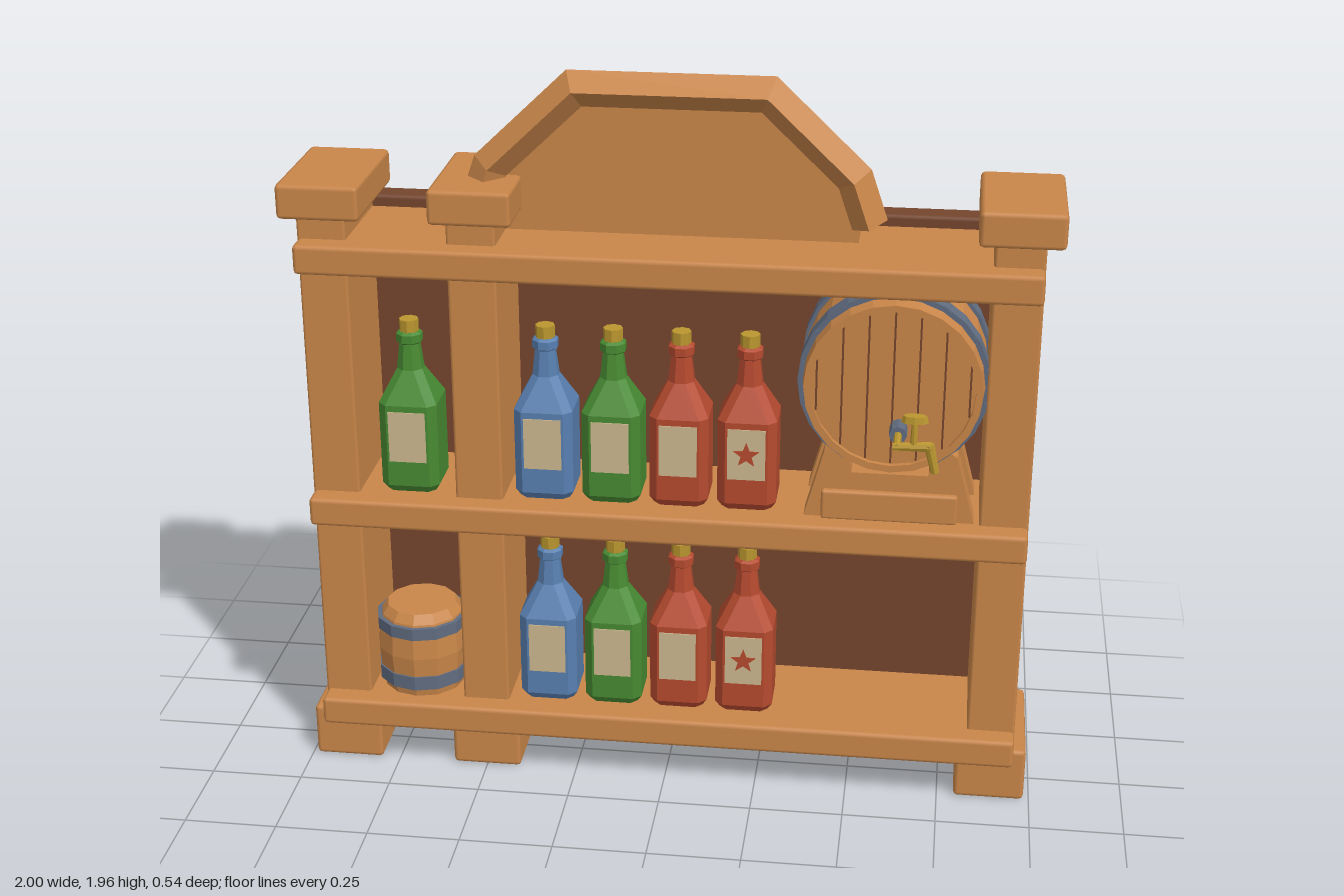
import * as THREE from 'three';
import { RoundedBoxGeometry } from 'three/addons/geometries/RoundedBoxGeometry.js';

const mat = (name, color) => {
  const m = new THREE.MeshStandardMaterial({ color });
  m.name = name;
  return m;
};

// faceted copy of a geometry
function flat(g) {
  const f = g.index ? g.toNonIndexed() : g;
  f.computeVertexNormals();
  return f;
}

function add(parent, name, geo, material, x = 0, y = 0, z = 0) {
  const m = new THREE.Mesh(geo, material);
  m.name = name;
  m.position.set(x, y, z);
  parent.add(m);
  return m;
}

// box with chamfered edges, given by its limits
function block(parent, name, material, x0, x1, y0, y1, z0, z1, r = 0.008) {
  const g = new RoundedBoxGeometry(x1 - x0, y1 - y0, z1 - z0, 1, r);
  return add(parent, name, g, material, (x0 + x1) / 2, (y0 + y1) / 2, (z0 + z1) / 2);
}

const lathe = (pts, n, phi = 0) =>
  flat(new THREE.LatheGeometry(pts.map(p => new THREE.Vector2(...p)), n, phi));

const polygon = pts => new THREE.Shape(pts.map(p => new THREE.Vector2(...p)));
const extrude = (shape, depth) => new THREE.ExtrudeGeometry(shape, { depth, bevelEnabled: false });

// mitred moulding with a diamond section, swept along a path in the xy plane
function moulding(path, h, d) {
  const P = path.map(p => new THREE.Vector2(...p)), pos = [], idx = [];
  const normal = i => {
    const t = P[i + 1].clone().sub(P[i]).normalize();
    return new THREE.Vector2(-t.y, t.x);
  };
  P.forEach((p, i) => {
    const a = normal(Math.max(i - 1, 0)), b = normal(Math.min(i, P.length - 2));
    const m = a.clone().add(b).normalize();
    m.multiplyScalar(h / m.dot(a));
    pos.push(p.x + m.x, p.y + m.y, 0, p.x, p.y, d, p.x - m.x, p.y - m.y, 0, p.x, p.y, -d);
  });
  for (let i = 0; i < P.length - 1; i++) for (let k = 0; k < 4; k++) {
    const a = i * 4 + k, b = a + 4, e = i * 4 + (k + 1) % 4, c = e + 4;
    idx.push(a, e, c, a, c, b);
  }
  const l = (P.length - 1) * 4;
  idx.push(0, 3, 2, 0, 2, 1, l, l + 1, l + 2, l, l + 2, l + 3);
  const g = new THREE.BufferGeometry();
  g.setAttribute('position', new THREE.Float32BufferAttribute(pos, 3));
  g.setIndex(idx);
  return flat(g);
}

// eight-sided bottle: a square body with chamfered corners and a narrow neck
function bottleGeometry() {
  const k = 1 / Math.cos(Math.PI / 8);
  const profile = [[0, 0], [0.066, 0], [0.078, 0.02], [0.078, 0.25], [0.034, 0.335], [0.026, 0.405],
    [0.033, 0.41], [0.033, 0.432], [0.026, 0.438], [0, 0.438]].map(([r, y]) => [r * k, y]);
  const g = new THREE.LatheGeometry(profile.map(p => new THREE.Vector2(...p)), 8, Math.PI / 8);
  const p = g.attributes.position;
  for (let i = 0; i < p.count; i++) {
    const x = p.getX(i), z = p.getZ(i);
    if (Math.hypot(x, z) < 0.05) continue;
    if (Math.abs(x) < Math.abs(z)) p.setX(i, x * 1.74); else p.setZ(i, z * 1.74);
  }
  return flat(g);
}

export function createModel() {
  const root = new THREE.Group();
  root.name = 'drinkShelf';
  const wood = mat('wood', 0xc98649), dark = mat('darkWood', 0x74452d), iron = mat('iron', 0x606c80);
  const gold = mat('brass', 0xba962f), cream = mat('labelPaper', 0xcdb78e);
  const blue = mat('blueGlass', 0x587fb0), green = mat('greenGlass', 0x488a32), red = mat('redGlass', 0xb54a2f);

  // posts with feet and caps
  for (const x of [-0.89, -0.5, 0.887]) {
    const out = x < -0.6 ? -0.003 : x > 0 ? 0.003 : 0;
    block(root, 'post', wood, x - 0.064, x + 0.064, 0.1, 1.6, -0.215, 0.1);
    block(root, 'foot', wood, x + out - 0.095, x + out + 0.095, 0, 0.152, -0.235, 0.118, 0.012);
    block(root, 'cap', wood, x + out - 0.108, x + out + 0.108, 1.577, 1.67, -0.242, 0.118, 0.012);
  }
  // shelves and back panel
  for (const y of [0.122, 0.733, 1.444])
    block(root, 'shelf', wood, -0.953, 0.95, y, y + 0.08, -0.252, 0.16, 0.012);
  block(root, 'backPanel', dark, -0.838, 0.835, 0.125, 1.555, -0.266, -0.19, 0.01);

  // crest board and its moulding
  const crest = polygon([[-0.48, 1.5], [0.48, 1.5], [0.48, 1.67], [0.255, 1.887], [-0.255, 1.887], [-0.48, 1.67]]);
  add(root, 'crestBoard', extrude(crest, 0.175), wood, 0, 0, -0.22);
  const half = [[0.247, 1.91], [0.467, 1.7], [0.508, 1.58]];
  const path = [...half.map(([x, y]) => [-x, y]).reverse(), ...half];
  add(root, 'crestMoulding', moulding(path, 0.047, 0.05), wood, 0, 0, -0.023);

  // bottles
  const glass = bottleGeometry();
  const cork = flat(new THREE.CylinderGeometry(0.026, 0.026, 0.036, 8));
  const label = new THREE.BoxGeometry(0.1, 0.142, 0.004);
  const star = extrude(polygon(Array.from({ length: 10 }, (_, i) => {
    const a = Math.PI / 2 + i * Math.PI / 5, r = i % 2 ? 0.015 : 0.036;
    return [r * Math.cos(a), r * Math.sin(a)];
  })), 0.003);
  const bottle = (x, y, color, starred) => {
    const b = new THREE.Group();
    b.name = 'bottle';
    b.position.set(x, y, 0.01);
    add(b, 'bottleGlass', glass, color);
    add(b, 'cork', cork, gold, 0, 0.453, 0);
    add(b, 'label', label, cream, 0, 0.162, 0.079);
    if (starred) add(b, 'labelStar', star, red, 0, 0.162, 0.081);
    root.add(b);
  };
  for (const y of [0.202, 0.813])
    [blue, green, red, red].forEach((c, i) => bottle(-0.328 + i * 0.18, y, c, i === 3));
  bottle(-0.692, 0.813, green, false);

  // small upright keg
  const keg = new THREE.Group();
  keg.name = 'smallKeg';
  keg.position.set(-0.695, 0.202, 0);
  add(keg, 'kegBody', lathe([[0, 0], [0.112, 0], [0.122, 0.06], [0.127, 0.12], [0.122, 0.18],
    [0.113, 0.22], [0.096, 0.245], [0, 0.245]], 12), wood);
  for (const [y, h] of [[0.025, 0.04], [0.18, 0.034]])
    add(keg, 'kegHoop', lathe([[0.11, y], [0.127, y], [0.127, y + h], [0.11, y + h]], 12), iron);
  root.add(keg);

  // large barrel lying on its side
  const barrel = new THREE.Group();
  barrel.name = 'largeBarrel';
  barrel.position.set(0.587, 1.198, 0);
  const along = pts => lathe(pts, 24).rotateX(Math.PI / 2);
  add(barrel, 'barrelBody', along([[0, -0.185], [0.228, -0.185], [0.238, -0.08], [0.238, 0.03], [0.228, 0.14],
    [0.21, 0.14], [0.21, 0.126], [0, 0.126]]), wood);
  for (const z of [-0.15, 0.04])
    add(barrel, 'barrelHoop', along([[0.22, z], [0.246, z], [0.246, z + 0.055], [0.22, z + 0.055]]), iron);
  const stud = new THREE.CylinderGeometry(0.006, 0.006, 0.006, 6).rotateX(Math.PI / 2);
  for (let i = 0; i < 16; i++) {
    const a = (i + 0.5) * Math.PI / 8;
    add(barrel, 'hoopStud', stud, iron, 0.238 * Math.cos(a), 0.238 * Math.sin(a), 0.097);
  }
  for (let i = -3; i <= 3; i++) {
    const x = i * 0.065, h = 2 * Math.sqrt(0.207 ** 2 - x * x);
    add(barrel, 'plankGap', new THREE.BoxGeometry(0.005, h, 0.003), dark, x, 0, 0.127);
  }
  root.add(barrel);

  // barrel cradle
  const cradle = extrude(polygon([[-0.222, 0], [0.222, 0], [0.172, 0.185], [0.115, 0.225],
    [0.1, 0.13], [-0.1, 0.13], [-0.115, 0.225], [-0.172, 0.185]]), 0.07);
  for (const z of [-0.16, 0.02]) add(root, 'cradle', cradle, wood, 0.587, 0.812, z);
  block(root, 'cradleBlock', wood, 0.41, 0.765, 0.81, 0.893, -0.17, 0.106);

  // tap
  const tap = new THREE.Group();
  tap.name = 'tap';
  tap.position.set(0.605, 1.092, 0);
  add(tap, 'tapCollar', flat(new THREE.CylinderGeometry(0.023, 0.023, 0.055, 8).rotateX(Math.PI / 2)), iron, 0, 0, 0.152);
  const rod = (name, from, to, r0, r1) => {
    const a = new THREE.Vector3(...from), b = new THREE.Vector3(...to), v = b.clone().sub(a);
    const m = add(tap, name, flat(new THREE.CylinderGeometry(r1, r0, v.length(), 8)), gold);
    m.position.copy(a).add(b).multiplyScalar(0.5);
    m.quaternion.setFromUnitVectors(new THREE.Vector3(0, 1, 0), v.normalize());
  };
  rod('tapPipe', [0, 0, 0.15], [0, 0, 0.26], 0.01, 0.01);
  rod('tapArm', [-0.01, 0, 0.252], [0.086, 0.004, 0.252], 0.01, 0.014);
  rod('tapSpout', [0.08, 0.01, 0.252], [0.098, -0.066, 0.252], 0.014, 0.01);
  rod('tapStem', [0.042, 0, 0.252], [0.042, 0.075, 0.252], 0.01, 0.007);
  const handle = add(tap, 'tapHandle', flat(new THREE.CylinderGeometry(0.03, 0.035, 0.018, 8)), gold, 0.042, 0.078, 0.252);
  handle.scale.z = 0.5;
  root.add(tap);

  return root;
}
